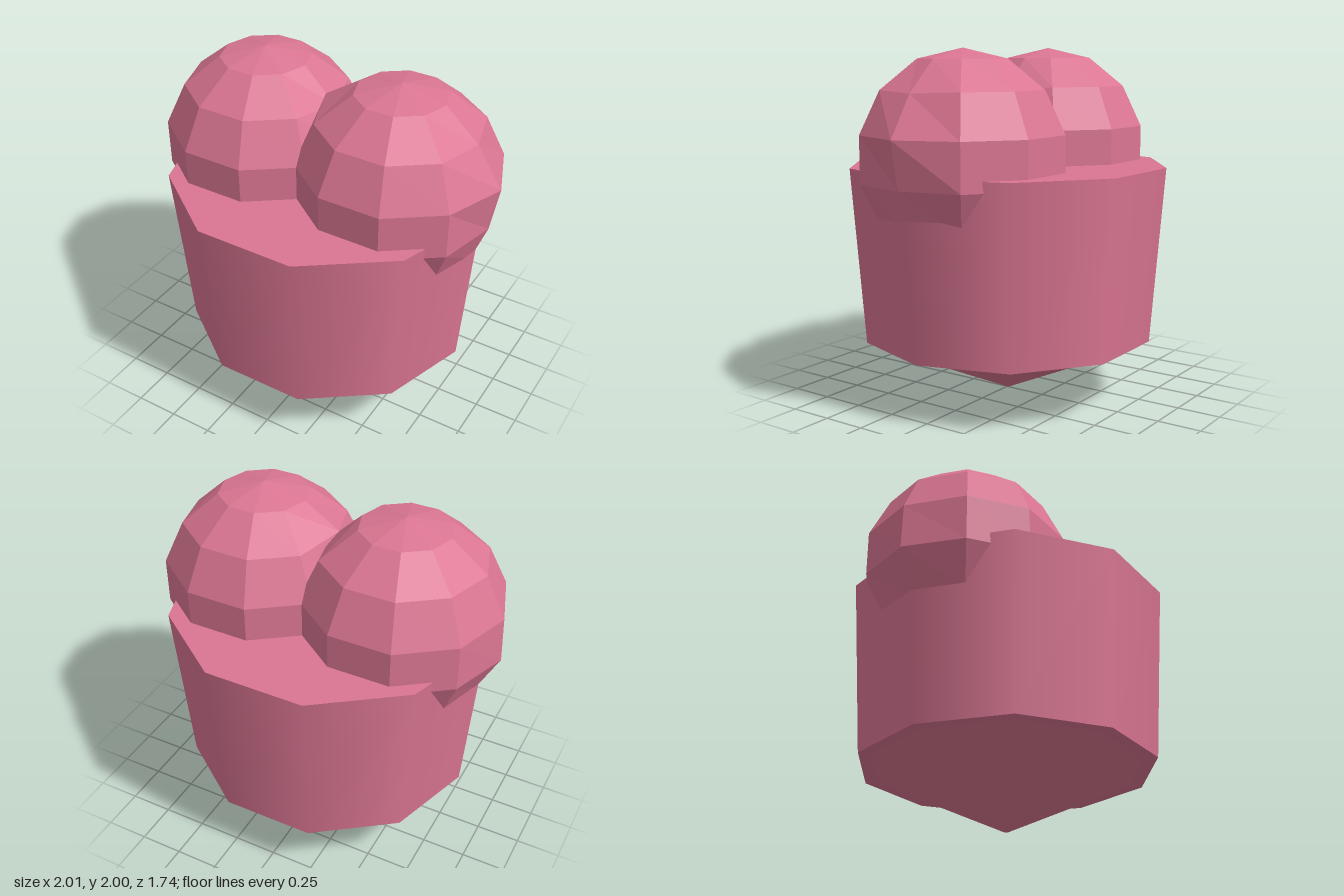
import * as THREE from 'three';

const pink = new THREE.MeshStandardMaterial({ color: 0xdb7693 });
pink.name = 'pink';

function addMesh(group, name, geometry, x, y) {
  const mesh = new THREE.Mesh(geometry, pink);
  mesh.name = name;
  mesh.position.set(x, y, 0);
  group.add(mesh);
  return mesh;
}

// Faceted ball; each nudge moves the vertices near one point by a small offset
function facetedBall(nudges) {
  const ball = new THREE.SphereGeometry(0.583, 10, 7);
  const pos = ball.attributes.position;
  const v = new THREE.Vector3();
  for (let i = 0; i < pos.count; i++) {
    v.fromBufferAttribute(pos, i);
    for (const [px, py, dx, dy] of nudges) {
      if (Math.hypot(v.x - px, v.y - py, v.z) < 0.05) {
        pos.setXY(i, v.x + dx, v.y + dy);
        break;
      }
    }
  }
  const flat = ball.toNonIndexed();
  flat.computeVertexNormals();
  return flat;
}

export function createModel() {
  const group = new THREE.Group();
  group.name = 'heartCup';

  // Ten-sided tapered body with smooth walls and flat caps, corners on the x axis
  const body = new THREE.CylinderGeometry(0.915, 0.841, 0.995, 10);
  body.rotateY(Math.PI / 2);
  addMesh(group, 'body', body, -0.005, 0.8475);

  // Pointed base with a tiny blunt tip
  const tip = new THREE.CylinderGeometry(0.765, 0.012, 0.35, 10);
  tip.rotateY(Math.PI / 2);
  addMesh(group, 'pointedBase', tip, -0.01, 0.175);

  // Two uneven lobes on top
  const rightLobe = facetedBall([[-0.568, -0.13, -0.01, 0], [0.456, 0.363, -0.02, -0.02]]);
  addMesh(group, 'rightLobe', rightLobe, -0.43, 1.415);

  const leftLobe = facetedBall([
    [0.568, 0.13, 0.02, 0], [0.568, -0.13, -0.025, 0],
    [0.456, 0.363, -0.015, -0.01], [-0.456, 0.363, 0.0, 0.03],
  ]);
  addMesh(group, 'leftLobe', leftLobe, 0.41, 1.415);

  return group;
}
